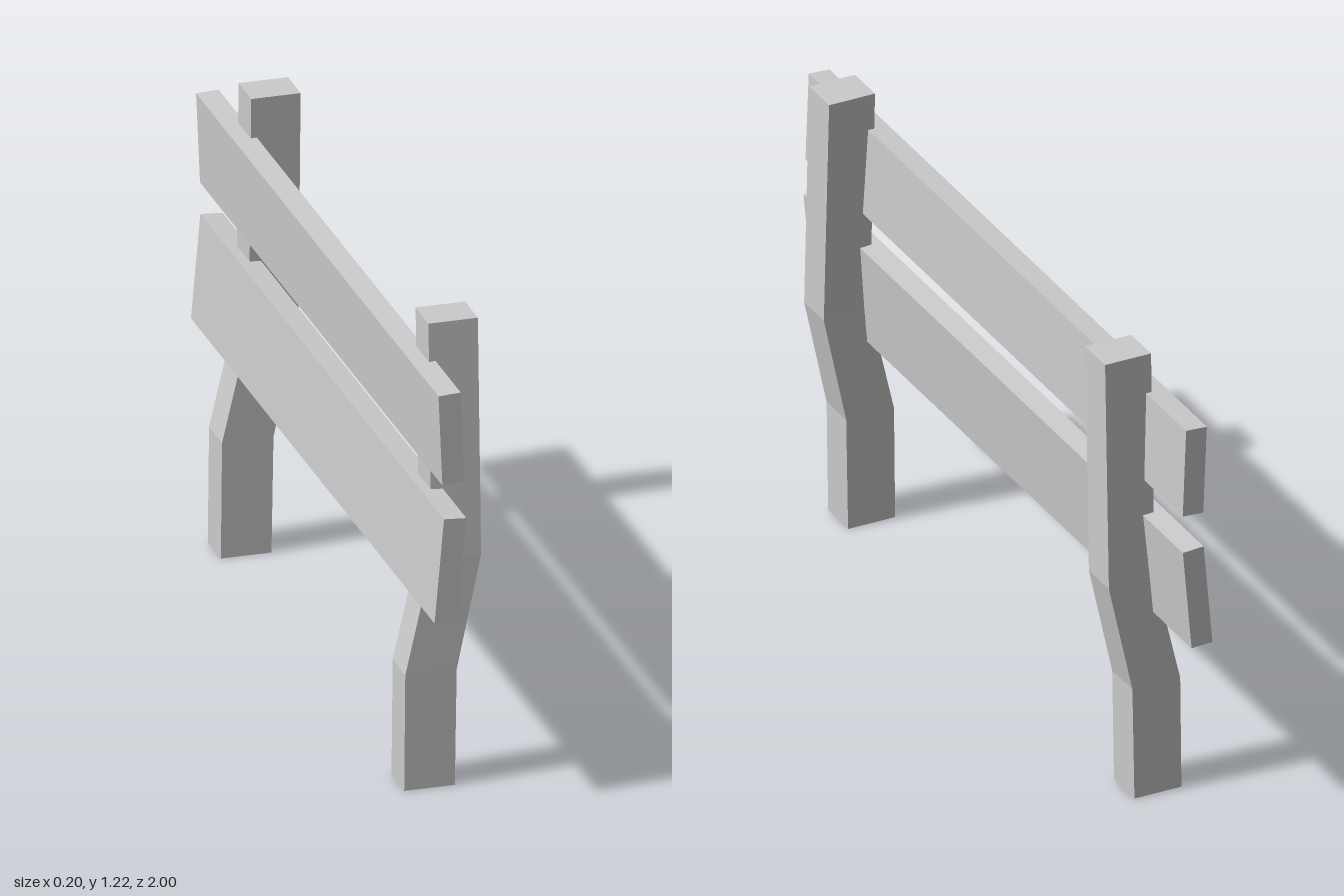
import * as THREE from 'three';

const material = new THREE.MeshStandardMaterial({ color: 0xcccccc, flatShading: true });

// Closed solid through four-cornered rings, each counter-clockwise seen from the far end
function loft(name, rings) {
  const pos = [];
  const quad = (a, b, c, d) => pos.push(...a, ...b, ...c, ...a, ...c, ...d);
  for (let r = 0; r < rings.length - 1; r++) {
    for (let i = 0; i < 4; i++) {
      const j = (i + 1) % 4;
      quad(rings[r][i], rings[r][j], rings[r + 1][j], rings[r + 1][i]);
    }
  }
  const [a, b, c, d] = rings[0];
  quad(d, c, b, a);
  quad(...rings[rings.length - 1]);
  const geometry = new THREE.BufferGeometry();
  geometry.setAttribute('position', new THREE.Float32BufferAttribute(pos, 3));
  geometry.computeVertexNormals();
  const mesh = new THREE.Mesh(geometry, material);
  mesh.name = name;
  return mesh;
}

// Bent post: each level gives height and x range, zs gives the z range per level
function post(name, zs) {
  const levels = [[0, -0.1, 0.029], [0.305, -0.097, 0.034], [0.6, -0.029, 0.097], [1.215, -0.029, 0.097]];
  return loft(name, levels.map(([y, x0, x1], i) => {
    const [z0, z1] = zs[i];
    return [[x0, y, z1], [x1, y, z1], [x1, y, z0], [x0, y, z0]];
  }));
}

// Plank along z: the end section is given at the front, the back end sags slightly
function plank(name, section, zBack, dx, dy) {
  return loft(name, [
    section.map(([x, y]) => [x + dx, y + dy, zBack]),
    section.map(([x, y]) => [x, y, 1]),
  ]);
}

export function createModel() {
  const group = new THREE.Group();
  group.name = 'fence';
  group.add(
    post('frontPost', [[0.713, 0.818], [0.713, 0.817], [0.71, 0.814], [0.682, 0.788]]),
    post('backPost', [[-0.8, -0.692], [-0.799, -0.692], [-0.796, -0.69], [-0.776, -0.672]]),
    plank('upperPlank', [[-0.059, 0.877], [-0.003, 0.88], [-0.012, 1.117], [-0.069, 1.114]], -0.99, -0.002, -0.008),
    plank('lowerPlank', [[-0.079, 0.514], [-0.022, 0.511], [0.002, 0.783], [-0.055, 0.787]], -1, -0.002, -0.006),
  );
  return group;
}
